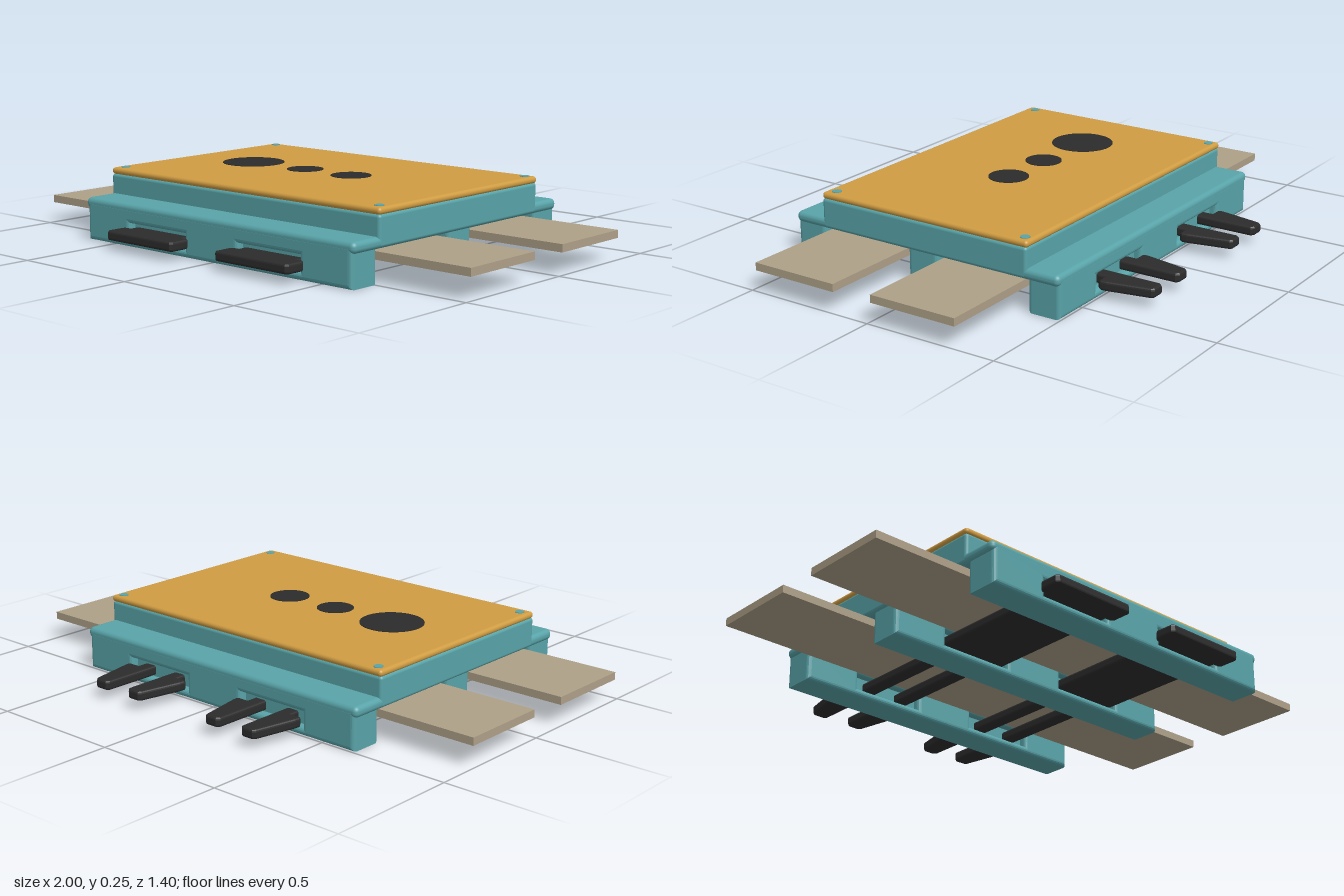
import * as THREE from 'three';
import { RoundedBoxGeometry } from 'three/addons/geometries/RoundedBoxGeometry.js';

const paint = (name, color) => {
  const material = new THREE.MeshStandardMaterial({ color });
  material.name = name;
  return material;
};

export function createModel() {
  const model = new THREE.Group();
  model.name = 'strapDevice';
  const teal = paint('teal', 0x58a3a8);
  const gold = paint('gold', 0xcf9c42);
  const black = paint('black', 0x2c2c2c);
  const beige = paint('beige', 0xaea088);

  const add = (name, geometry, material) => {
    const mesh = new THREE.Mesh(geometry, material);
    mesh.name = name;
    model.add(mesh);
    return mesh;
  };

  // Box given by its extents, with optional rounded edges
  const block = (name, material, [x0, x1], [y0, y1], [z0, z1], radius = 0) => {
    const size = [x1 - x0, y1 - y0, z1 - z0];
    const geometry = radius
      ? new RoundedBoxGeometry(...size, 4, radius)
      : new THREE.BoxGeometry(...size);
    add(name, geometry, material).position.set((x0 + x1) / 2, (y0 + y1) / 2, (z0 + z1) / 2);
  };

  // Housing: flange, raised case and cover
  block('flange', teal, [-0.645, 0.645], [0.115, 0.155], [-0.5, 0.615], 0.018);
  block('case', teal, [-0.645, 0.645], [0.118, 0.228], [-0.375, 0.49], 0.012);
  block('cover', gold, [-0.645, 0.645], [0.225, 0.25], [-0.378, 0.49], 0.012);

  const clipCentres = [-0.27, 0.27];

  // Rails across the underside, with a slot for each clip and a solid core
  const rail = (name, z0, z1) => {
    const w = 0.62, bottom = 0.015, top = 0.13, bevel = 0.015;
    const outline = new THREE.Shape([
      new THREE.Vector2(-w, bottom), new THREE.Vector2(w, bottom),
      new THREE.Vector2(w, top), new THREE.Vector2(-w, top),
    ]);
    for (const c of clipCentres) {
      const [l, r, b, t] = [c - 0.157, c + 0.157, 0.015, 0.1];
      outline.holes.push(new THREE.Path([
        new THREE.Vector2(l, b), new THREE.Vector2(l, t),
        new THREE.Vector2(r, t), new THREE.Vector2(r, b),
      ]));
    }
    const geometry = new THREE.ExtrudeGeometry(outline, {
      depth: z1 - z0 - 2 * bevel, bevelThickness: bevel, bevelSize: bevel, bevelSegments: 4,
    });
    add(name, geometry, teal).position.z = z0 + bevel;
    block(name + 'Core', teal, [-w, w], [0.01, 0.13], [z0 + 0.03, z1 - 0.03]);
  };
  rail('frontRail', 0.49, 0.615);
  rail('middleRail', -0.005, 0.12);
  rail('backRail', -0.5, -0.375);

  // Straps
  block('frontStrap', beige, [-1, 1], [0.077, 0.105], [0.14, 0.478]);
  block('backStrap', beige, [-1, 1], [0.077, 0.105], [-0.352, -0.016]);

  // Forked clips: half outline as [x, z] from the head to the barbed prongs
  const half = [
    [0.157, 0.7], [0.168, 0.69], [0.168, 0.625], [0.157, 0.612], [0.135, 0.612],
    [0.135, 0.06], [0.1, 0.03], [0.1, -0.505], [0.14, -0.505], [0.147, -0.515],
    [0.145, -0.535], [0.114, -0.69], [0.104, -0.7], [0.06, -0.7], [0.048, -0.688],
    [0.045, 0.06],
  ];
  const corners = [...half, ...half.map(([x, z]) => [-x, z]).reverse()];
  const clipShape = new THREE.Shape(corners.map(([x, z]) => new THREE.Vector2(x, -z)));
  const clipGeometry = new THREE.ExtrudeGeometry(clipShape, {
    depth: 0.017, bevelThickness: 0.009, bevelSize: 0.009, bevelOffset: -0.009, bevelSegments: 3,
  }).rotateX(-Math.PI / 2);
  for (const c of clipCentres) {
    add(c > 0 ? 'leftClip' : 'rightClip', clipGeometry, black).position.set(c, 0.044, 0);
  }

  // Round openings in the cover, drawn as thin discs
  for (const [x, radius] of [[-0.345, 0.115], [-0.082, 0.067], [0.14, 0.073]]) {
    add('opening', new THREE.CylinderGeometry(radius, radius, 0.004, 48), black)
      .position.set(x, 0.25, 0.05);
  }

  // Corner screws
  for (const x of [-0.61, 0.61]) {
    for (const z of [-0.348, 0.45]) {
      add('screw', new THREE.CylinderGeometry(0.017, 0.017, 0.004, 20), teal)
        .position.set(x, 0.25, z);
    }
  }

  return model;
}
